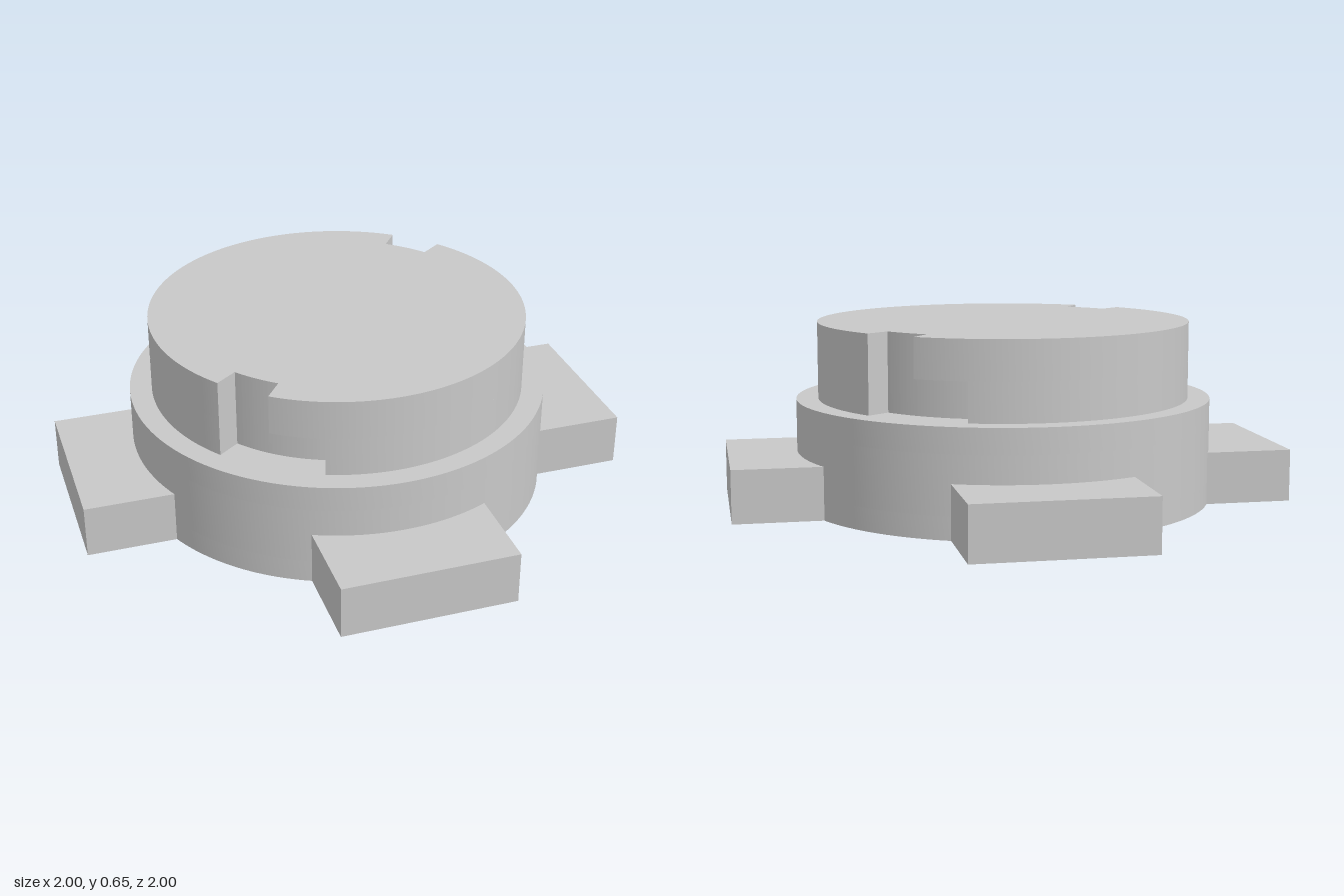
import * as THREE from 'three';
import { toCreasedNormals } from 'three/addons/utils/BufferGeometryUtils.js';

const rad = THREE.MathUtils.degToRad;

// Circle outline, or hole, in plan (plan y is -z)
function circle(r, x = 0, z = 0) {
  const s = new THREE.Shape();
  s.absarc(x, -z, r, 0, Math.PI * 2, false);
  return s;
}

// Collar outline with two opposite notches between the given angles
function notchedCircle(outer, inner, from, to) {
  const s = new THREE.Shape();
  for (const turn of [0, 180]) {
    s.absarc(0, 0, inner, rad(turn + from), rad(turn + to), false);
    s.absarc(0, 0, outer, rad(turn + to), rad(turn + 180 + from), false);
  }
  s.closePath();
  return s;
}

export function createModel() {
  const model = new THREE.Group();
  model.name = 'bayonetCap';
  const grey = new THREE.MeshStandardMaterial({ color: 0xc8c8c8 });
  grey.name = 'plain grey';

  function layer(name, shape, y0, y1, hole) {
    if (hole) shape.holes.push(hole);
    const g = new THREE.ExtrudeGeometry(shape, { depth: y1 - y0, bevelEnabled: false, curveSegments: 64 });
    g.rotateX(-Math.PI / 2).translate(0, y0, 0);
    const mesh = new THREE.Mesh(toCreasedNormals(g, rad(30)), grey);
    mesh.name = name;
    model.add(mesh);
  }

  // Off-centre stepped pocket opening into the underside recess
  const pocket = () => circle(0.254, 0.19, 0.19);
  const bore = () => circle(0.21, 0.19, 0.19);

  // Wide base disc
  layer('baseRim', circle(0.752), 0, 0.08, circle(0.537));
  layer('baseMiddle', circle(0.752), 0.08, 0.285, pocket());
  layer('baseTop', circle(0.752), 0.285, 0.375, bore());

  // Collar with L-shaped bayonet slots, wider in the lower half
  layer('collarLower', notchedCircle(0.673, 0.582, 36.7, 69), 0.375, 0.513, bore());
  layer('collarUpper', notchedCircle(0.673, 0.582, 36.7, 53), 0.513, 0.652);

  // Four grip tabs
  for (let i = 0; i < 4; i++) {
    const tab = new THREE.Mesh(new THREE.BoxGeometry(0.4, 0.188, 0.616).translate(0.8, 0.094, 0), grey);
    tab.name = 'gripTab' + (i + 1);
    tab.rotation.y = i * Math.PI / 2;
    model.add(tab);
  }
  return model;
}
